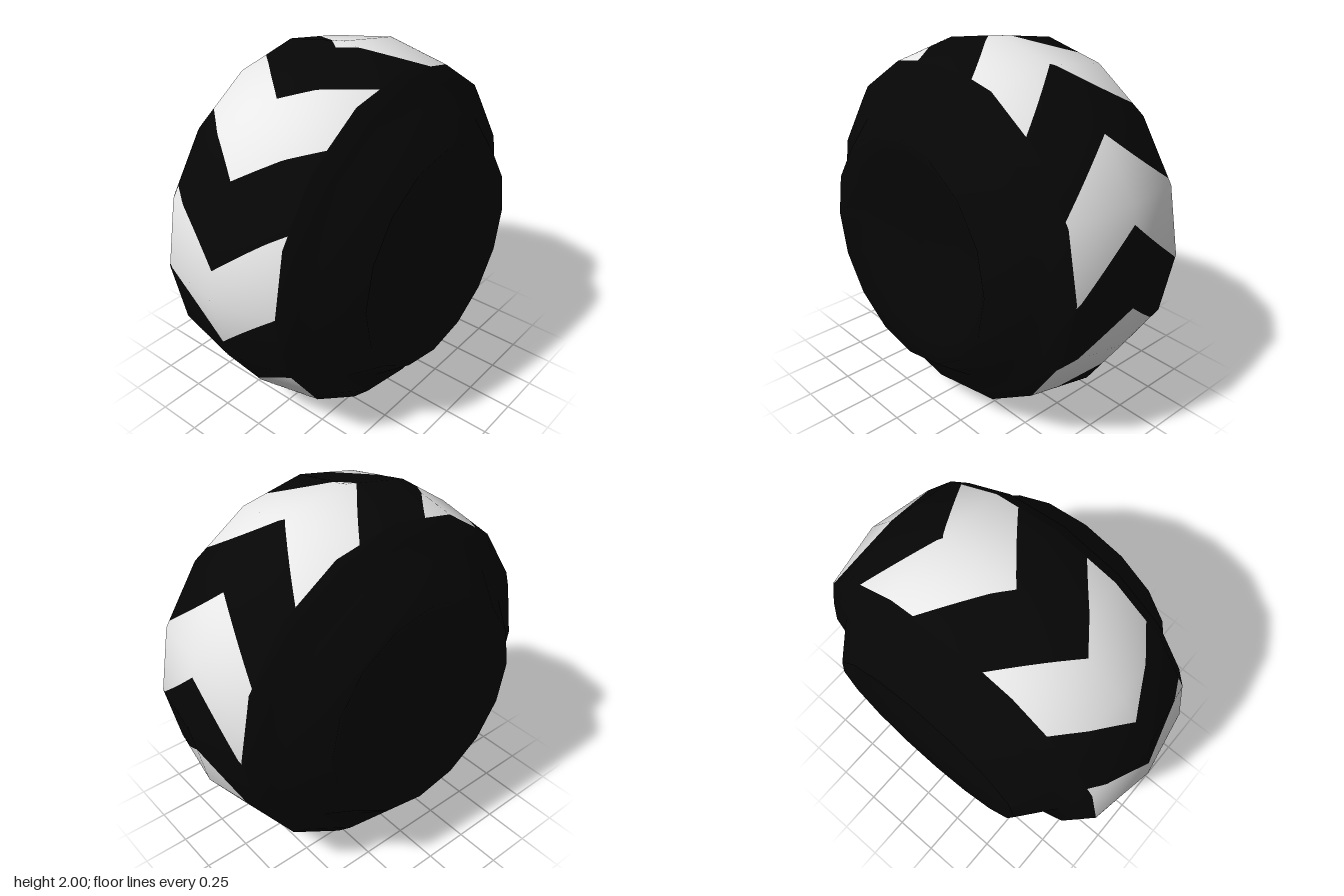
import * as THREE from 'three';

const SIDES = 16;              // facets round the wheel
const HALF = 0.363;            // half width of the painted tread
const R_MID = 1, R_EDGE = 0.935;
const CHEVRONS = 7;
const rad = THREE.MathUtils.degToRad;

// Point on the faceted tread: angle a runs from the front (+z) up towards +y
function treadPoint(x, a) {
  const step = (Math.PI * 2) / SIDES;
  const i = Math.floor(a / step), t = a / step - i;
  const r = THREE.MathUtils.lerp(R_MID, R_EDGE, Math.abs(x) / HALF);
  const a0 = i * step, a1 = a0 + step;
  return new THREE.Vector3(
    x,
    r * THREE.MathUtils.lerp(Math.sin(a0), Math.sin(a1), t),
    r * THREE.MathUtils.lerp(Math.cos(a0), Math.cos(a1), t)
  );
}

// One V-shaped band of tread, wrapped round the wheel
function treadBand(start, width) {
  const g = new THREE.PlaneGeometry(2 * HALF, 1, 32, 64);
  const pos = g.attributes.position, nor = g.attributes.normal;
  for (let i = 0; i < pos.count; i++) {
    const x = pos.getX(i);
    const a = start + (pos.getY(i) + 0.5) * width + rad(18.1) * Math.abs(x) / HALF;
    const p = treadPoint(x, a);
    pos.setXYZ(i, p.x, p.y, p.z);
    // Smooth normal, tilting outwards towards the shoulder
    const n = new THREE.Vector3(0.45 * x / HALF, Math.sin(a), Math.cos(a)).normalize();
    nor.setXYZ(i, n.x, n.y, n.z);
  }
  return g;
}

export function createModel() {
  const model = new THREE.Group();
  model.name = 'wheel';
  const black = new THREE.MeshStandardMaterial({ color: 0x060606 });
  black.name = 'black rubber';
  const white = new THREE.MeshStandardMaterial({ color: 0xeeeeee });
  white.name = 'white tread';

  // Alternating white and black chevrons
  const width = Math.PI / CHEVRONS;
  for (let k = 0; k < CHEVRONS * 2; k++) {
    const isWhite = k % 2 === 0;
    const band = new THREE.Mesh(treadBand(rad(-17.06) + k * width, width), isWhite ? white : black);
    band.name = isWhite ? 'whiteChevron' : 'blackChevron';
    model.add(band);
  }

  // Shoulder, side wall and dished hub on both sides: [radius, distance from middle]
  const profile = [
    [R_EDGE, HALF], [0.862, 0.437], [0.755, 0.457], [0.612, 0.635], [0.5, 0.565], [0, 0.53],
  ].map(([r, x]) => new THREE.Vector2(r, x));
  const sideGeometry = new THREE.LatheGeometry(profile, SIDES);
  for (const s of [1, -1]) {
    const side = new THREE.Mesh(sideGeometry, black);
    side.name = s > 0 ? 'leftSide' : 'rightSide';
    side.rotation.z = -s * Math.PI / 2;
    model.add(side);
  }

  for (const part of model.children) part.position.y = 1;
  return model;
}
